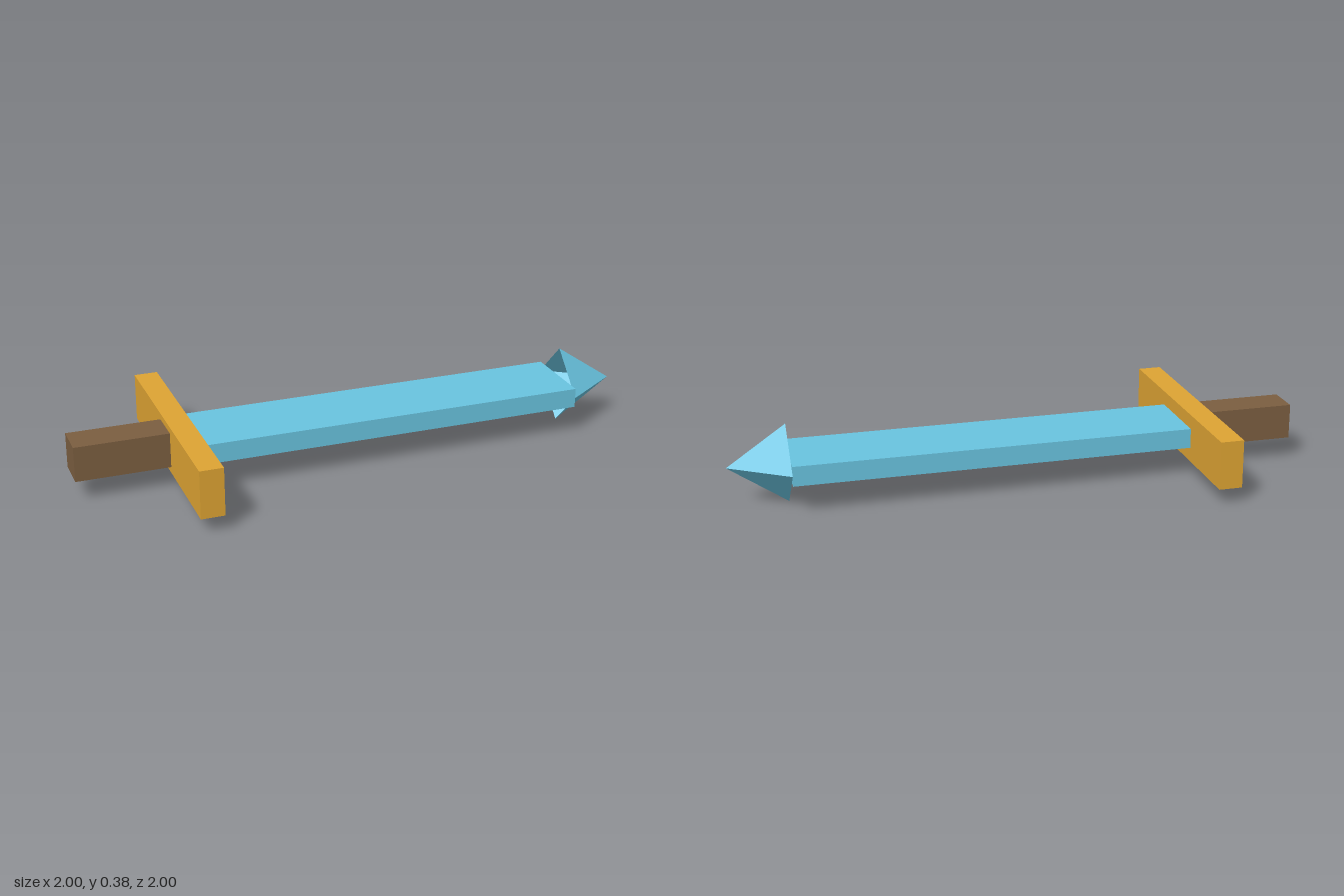
import * as THREE from 'three';

const AXIS_Y = 0.188; // height of the sword's long axis

export function createModel() {
  const model = new THREE.Group();
  model.name = 'sword';

  const material = (name, color, options = {}) =>
    Object.assign(new THREE.MeshStandardMaterial({ color, flatShading: true, ...options }), { name });
  const blue = material('bladeBlue', 0x69c3df, { side: THREE.DoubleSide });
  const gold = material('guardGold', 0xdda333);
  const brown = material('gripBrown', 0x7b5e40);

  // The sword lies along local x, turned to the diagonal
  const sword = new THREE.Group();
  sword.name = 'swordBody';
  sword.position.y = AXIS_Y;
  sword.rotation.y = Math.PI / 4;
  model.add(sword);

  const add = (name, geometry, mat) => {
    const mesh = new THREE.Mesh(geometry, mat);
    mesh.name = name;
    sword.add(mesh);
  };
  // Box spanning x0..x1 along the sword
  const bar = (x0, x1, height, width) =>
    new THREE.BoxGeometry(x1 - x0, height, width).translate((x0 + x1) / 2, 0, 0);

  add('grip', bar(-1.288, -0.849, 0.167, 0.167), brown);
  add('guard', bar(-0.849, -0.739, 0.228, 1.132), gold);
  add('blade', bar(-0.739, 1.138, 0.094, 0.372), blue);

  // Four-sided tip, open towards the blade
  const tip = new THREE.ConeGeometry(0.188, 0.276, 4, 1, true)
    .rotateZ(-Math.PI / 2)
    .translate(1.276, 0, 0);
  add('tip', tip, blue);

  return model;
}
